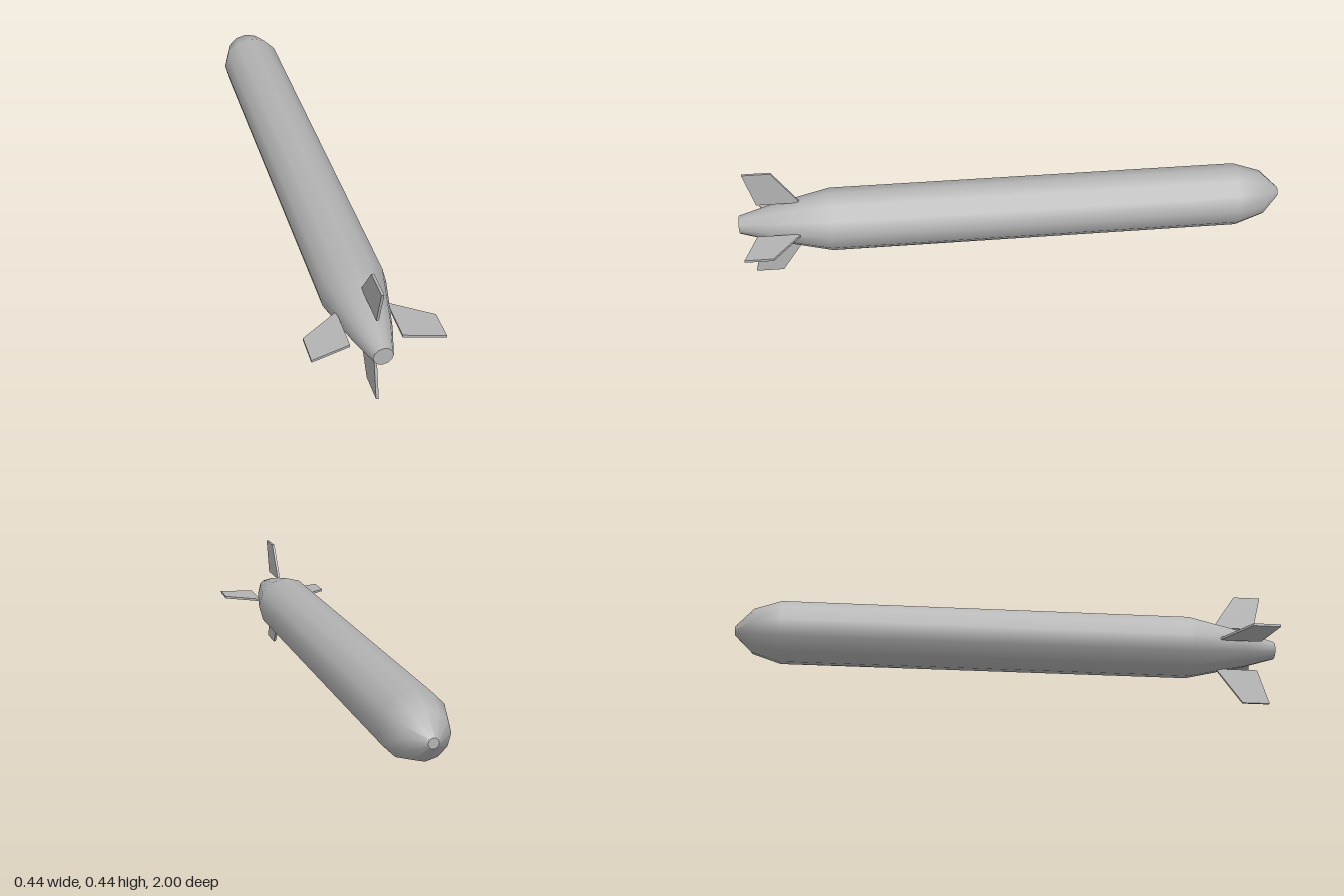
import * as THREE from 'three';

const CENTRE_Y = 0.2175;
const SIDES = 12;

export function createModel() {
  const grey = new THREE.MeshStandardMaterial({ color: 0xb3b3b3 });
  grey.name = 'grey metal';

  const model = new THREE.Group();
  model.name = 'finnedCylinder';
  const add = (geometry, name, parent = model) => {
    const mesh = new THREE.Mesh(geometry, grey);
    mesh.name = name;
    parent.add(mesh);
    return mesh;
  };

  // Body: [radius, z] from the rounded nose at the back to the tapered tail at the front
  const profile = [
    [0.018, -1], [0.083, -0.935], [0.1155, -0.835],
    [0.1155, 0.67], [0.067, 0.885], [0.033, 1],
  ].map(([r, z]) => new THREE.Vector2(r, z));
  const body = new THREE.LatheGeometry(profile, SIDES);
  body.rotateX(Math.PI / 2);
  add(body, 'body').position.y = CENTRE_Y;

  // Flat end caps
  add(new THREE.CircleGeometry(0.033, SIDES), 'tailCap').position.set(0, CENTRE_Y, 1);
  const noseCap = add(new THREE.CircleGeometry(0.018, SIDES), 'noseCap');
  noseCap.position.set(0, CENTRE_Y, -1);
  noseCap.rotation.y = Math.PI;

  // Four swept fins: outline drawn as (z, radius), turned to stand along the body
  const thickness = 0.009;
  const outline = new THREE.Shape([
    [0.774, 0.085], [0.93, 0.085], [0.966, 0.2175], [0.865, 0.2175],
  ].map(([z, r]) => new THREE.Vector2(z, r)));
  const fin = new THREE.ExtrudeGeometry(outline, { depth: thickness, bevelEnabled: false });
  fin.translate(0, 0, -thickness / 2);
  fin.rotateY(-Math.PI / 2);
  ['topFin', 'leftFin', 'bottomFin', 'rightFin'].forEach((name, i) => {
    const mesh = add(fin, name);
    mesh.position.y = CENTRE_Y;
    mesh.rotation.z = -i * Math.PI / 2;
  });

  return model;
}
